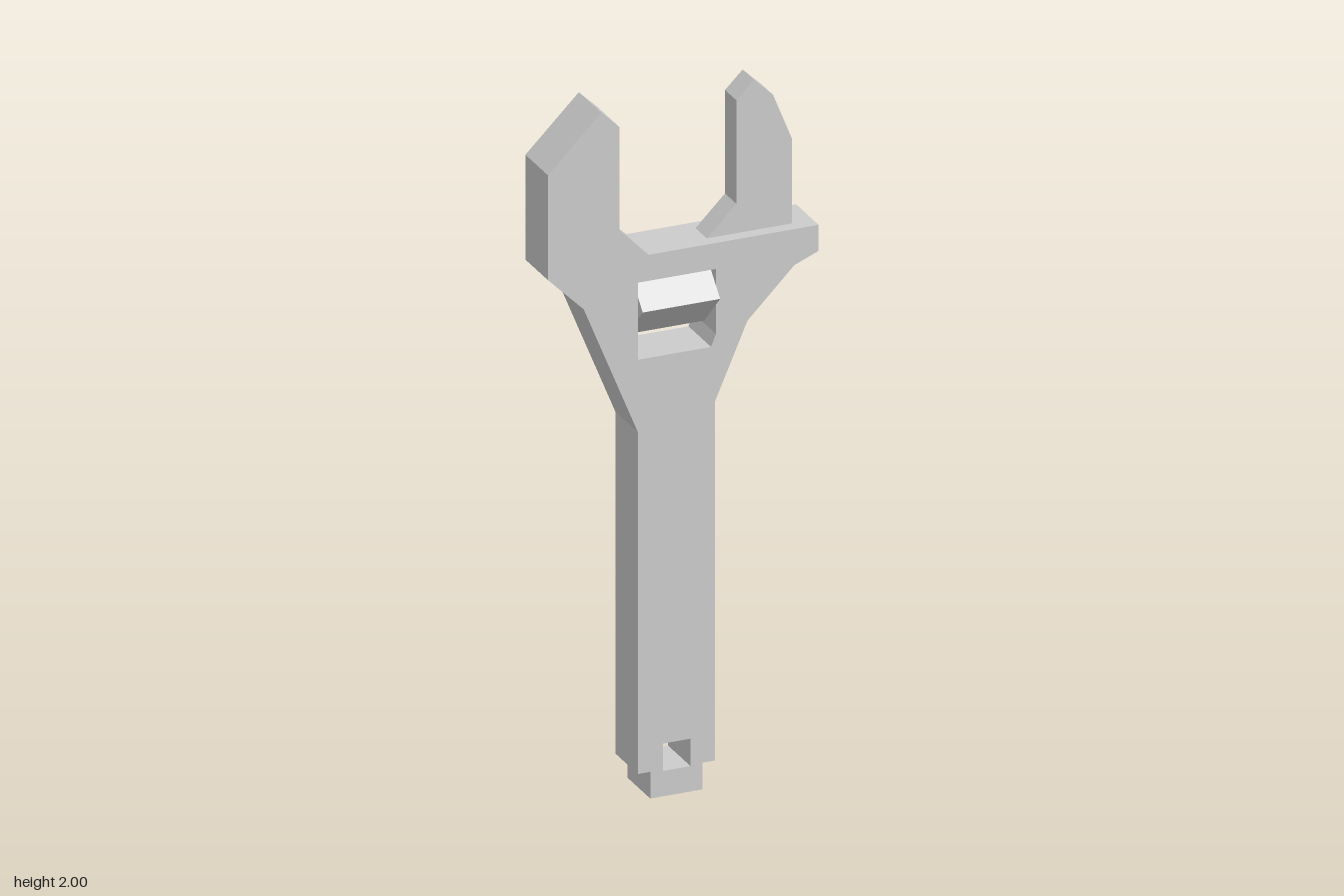
import * as THREE from 'three';

const material = new THREE.MeshStandardMaterial({ color: 0xcccccc, flatShading: true });

// Flat plate cut from an outline, centred on z = 0
function plate(name, outline, thickness, holes = []) {
  const toPoints = (list) => list.map(([x, y]) => new THREE.Vector2(x, y));
  const shape = new THREE.Shape(toPoints(outline));
  for (const hole of holes) shape.holes.push(new THREE.Path(toPoints(hole)));
  const geometry = new THREE.ExtrudeGeometry(shape, { depth: thickness, bevelEnabled: false });
  geometry.translate(0, 0, -thickness / 2);
  const mesh = new THREE.Mesh(geometry, material);
  mesh.name = name;
  return mesh;
}

export function createModel() {
  const wrench = new THREE.Group();
  wrench.name = 'adjustableWrench';

  // Handle, head and fixed jaw in one piece
  const body = [
    [-0.095, 0], [0.055, 0], [0.055, 0.077], [0.091, 0.077], [0.091, 1.11],
    [0.185, 1.327], [0.32, 1.463], [0.39, 1.492], [0.39, 1.567], [-0.1, 1.567],
    [-0.184, 1.652], [-0.184, 1.95], [-0.236, 2], [-0.39, 1.847], [-0.39, 1.545],
    [-0.287, 1.443], [-0.131, 1.062], [-0.131, 0.077], [-0.095, 0.077],
  ];
  const adjusterWindow = [[-0.131, 1.27], [0.08, 1.27], [0.094, 1.305], [0.094, 1.492], [-0.131, 1.492]];
  const hangingHole = [[-0.058, 0.073], [0.021, 0.073], [0.021, 0.152], [-0.058, 0.152]];
  wrench.add(plate('body', body, 0.148, [adjusterWindow, hangingHole]));

  // Thinner sliding jaw standing on the head
  const jaw = [
    [0.084, 1.567], [0.33, 1.567], [0.33, 1.81], [0.275, 1.947],
    [0.22, 2], [0.169, 1.95], [0.169, 1.652],
  ];
  wrench.add(plate('slidingJaw', jaw, 0.074));

  // Square adjuster bar lying along x, turned on its edge
  const adjuster = new THREE.Mesh(new THREE.BoxGeometry(0.223, 0.147, 0.147), material);
  adjuster.name = 'adjuster';
  adjuster.rotation.x = Math.PI / 4;
  adjuster.position.set(-0.0185, 1.418, 0);
  wrench.add(adjuster);

  return wrench;
}
